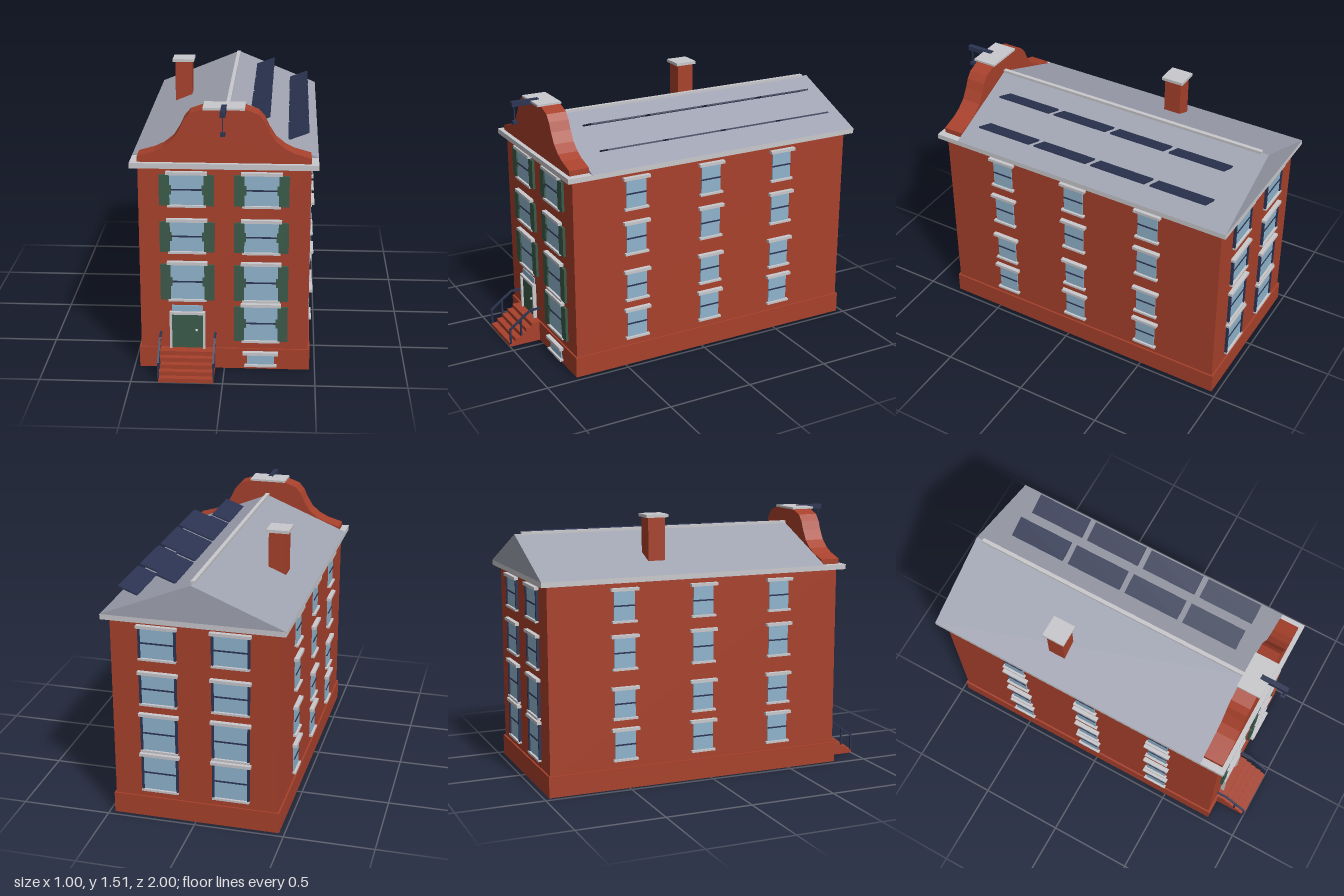
import * as THREE from 'three';

const mat = (name, color) => Object.assign(new THREE.MeshStandardMaterial({ color }), { name });

export function createModel() {
  const brick = mat('brick red', 0xa8412c);
  const slate = mat('roof grey', 0xa0a3b1);
  const trim = mat('pale stone', 0xc9c9cd);
  const glass = mat('window blue', 0x90b4cd);
  const green = mat('shutter green', 0x3b5b4a);
  const navy = mat('dark navy', 0x2c3452);

  const model = new THREE.Group();
  model.name = 'townHouse';

  // Box given by its min and max on each axis
  function box(parent, name, m, x0, x1, y0, y1, z0, z1) {
    const mesh = new THREE.Mesh(new THREE.BoxGeometry(x1 - x0, y1 - y0, z1 - z0), m);
    mesh.position.set((x0 + x1) / 2, (y0 + y1) / 2, (z0 + z1) / 2);
    mesh.name = name;
    parent.add(mesh);
    return mesh;
  }
  // Outline in x,y pushed along z
  function prism(name, m, points, z0, z1) {
    const shape = new THREE.Shape(points.map(([x, y]) => new THREE.Vector2(x, y)));
    const geo = new THREE.ExtrudeGeometry(shape, { depth: z1 - z0, bevelEnabled: false });
    geo.translate(0, 0, z0);
    const mesh = new THREE.Mesh(geo, m);
    mesh.name = name;
    model.add(mesh);
    return mesh;
  }
  // Square bar between two points
  function bar(parent, name, m, a, b, t) {
    const from = new THREE.Vector3(...a), to = new THREE.Vector3(...b);
    const mesh = new THREE.Mesh(new THREE.BoxGeometry(t, t, from.distanceTo(to)), m);
    mesh.position.copy(from).lerp(to, 0.5);
    mesh.lookAt(to);
    mesh.name = name;
    parent.add(mesh);
  }

  // Walls, plinth and eaves
  box(model, 'walls', brick, -0.46, 0.46, 0.1, 1.17, -0.96, 0.8);
  box(model, 'plinth', brick, -0.47, 0.47, 0, 0.12, -0.97, 0.81);
  box(model, 'eaves', trim, -0.5, 0.5, 1.167, 1.196, -1, 0.84);

  // Roof with ridge cap
  prism('roof', slate, [[-0.5, 1.196], [0.5, 1.196], [0, 1.4]], -1, 0.7);
  box(model, 'ridgeCap', trim, -0.011, 0.011, 1.385, 1.411, -0.96, 0.7);

  // Curved front gable
  const half = [[0.46, 1.196], [0.46, 1.226], [0.37, 1.252], [0.32, 1.277], [0.27, 1.318],
    [0.235, 1.375], [0.212, 1.425], [0.18, 1.462], [0.11, 1.487]];
  const mirrored = half.map(([x, y]) => [-x, y]).reverse();
  prism('frontGable', brick, [...half, ...mirrored], 0.7, 0.815);
  box(model, 'gableCap', trim, -0.11, 0.11, 1.486, 1.498, 0.695, 0.835);

  // Hoist beam with rope and hook
  box(model, 'hoistBeam', navy, -0.014, 0.014, 1.476, 1.504, 0.785, 0.945);
  box(model, 'hoistRope', navy, -0.003, 0.003, 1.39, 1.48, 0.925, 0.931);
  box(model, 'hoistHook', navy, -0.013, 0.013, 1.376, 1.394, 0.915, 0.941);

  // Chimney
  box(model, 'chimney', brick, -0.35, -0.25, 1.24, 1.5, -0.335, -0.235);
  box(model, 'chimneyCap', trim, -0.365, -0.238, 1.498, 1.515, -0.35, -0.22);

  // Tilted solar panels, two rows of four
  for (const [x, y] of [[0.125, 1.347], [0.337, 1.262]]) {
    for (let i = 0; i < 4; i++) {
      const panel = new THREE.Mesh(new THREE.BoxGeometry(0.118, 0.009, 0.332), navy);
      panel.position.set(x + 0.055, y + 0.02, -0.685 + i * 0.366);
      panel.rotation.z = 0.36;
      panel.name = 'solarPanel';
      model.add(panel);
    }
  }

  // Window facing local +z, with its wall at z = 0
  function makeWindow(parent, x, y0, y1, halfW, { ledge = 0.02, shutters, posts, mid = true } = {}) {
    const g = new THREE.Group();
    g.name = 'window';
    g.position.x = x;
    parent.add(g);
    const ym = (y0 + y1) / 2;
    box(g, 'glass', glass, -halfW, halfW, y0, y1, -0.002, 0.007);
    if (mid) box(g, 'glazingBar', navy, -halfW, halfW, ym - 0.004, ym + 0.004, 0.004, 0.011);
    box(g, 'lintel', trim, -halfW - ledge, halfW + ledge, y1, y1 + 0.017, -0.002, 0.025);
    box(g, 'sill', trim, -halfW - ledge * 0.6, halfW + ledge * 0.6, y0 - 0.012, y0, -0.002, 0.02);
    for (const s of [-1, 1]) {
      const strip = (name, m, a, b, lo, hi, d) =>
        box(g, name, m, Math.min(s * a, s * b), Math.max(s * a, s * b), lo, hi, -0.002, d);
      if (shutters) {
        strip('shutter', green, halfW - 0.002, 0.147, y0 - 0.003, y1 - 0.002, 0.015);
        strip('shutterLatch', green, halfW - 0.012, halfW, ym - 0.025, ym + 0.025, 0.013);
      }
      if (posts) strip('windowPost', navy, halfW, halfW + 0.012, y0, y1, 0.015);
    }
    return g;
  }
  // Each wall is a group turned to face outward
  function wall(name, x, z, turn) {
    const g = new THREE.Group();
    g.name = name;
    g.position.set(x, 0, z);
    g.rotation.y = turn;
    model.add(g);
    return g;
  }
  const wideRows = [[0.172, 0.375], [0.412, 0.616], [0.692, 0.862], [0.957, 1.127]];
  const sideRows = [[0.174, 0.334], [0.41, 0.568], [0.69, 0.86], [0.955, 1.119]];

  const front = wall('frontWindows', 0, 0.8, 0);
  const back = wall('backWindows', 0, -0.96, Math.PI);
  wideRows.forEach(([y0, y1], row) => {
    for (const x of [-0.2, 0.2]) {
      if (row > 0 || x > 0) makeWindow(front, x, y0, y1, 0.094, { shutters: true, ledge: 0.016 });
      makeWindow(back, x, y0, y1, 0.092, { posts: true });
    }
  });
  for (const s of [-1, 1]) {
    const side = wall(s > 0 ? 'leftWindows' : 'rightWindows', s * 0.46, 0, s * Math.PI / 2);
    for (const z of [0.423, -0.05, -0.522])
      for (const [y0, y1] of sideRows) makeWindow(side, -s * z, y0, y1, 0.061);
  }
  // Basement window
  makeWindow(wall('basementWindow', 0, 0.81, 0), 0.2, 0.03, 0.09, 0.075, { ledge: 0.023, mid: false });

  // Door with frame, knob and light above
  const door = new THREE.Group();
  door.name = 'door';
  model.add(door);
  box(door, 'doorLeaf', green, -0.29, -0.115, 0.12, 0.322, 0.798, 0.808);
  box(door, 'doorFrame', trim, -0.3, -0.288, 0.12, 0.337, 0.798, 0.822);
  box(door, 'doorFrame', trim, -0.117, -0.105, 0.12, 0.337, 0.798, 0.822);
  box(door, 'doorFrame', trim, -0.3, -0.105, 0.322, 0.337, 0.798, 0.822);
  box(door, 'transomWindow', glass, -0.288, -0.117, 0.337, 0.372, 0.798, 0.807);
  const knob = new THREE.Mesh(new THREE.SphereGeometry(0.008, 10, 8), trim);
  knob.position.set(-0.153, 0.228, 0.814);
  knob.name = 'doorKnob';
  door.add(knob);

  // Front steps
  for (let i = 0; i < 5; i++)
    box(model, 'step', brick, -0.35, -0.05, i * 0.024, (i + 1) * 0.024, 0.8, 1 - i * 0.035);

  // Handrails
  for (const x of [-0.35, -0.05]) {
    const rail = new THREE.Group();
    rail.name = 'handrail';
    model.add(rail);
    bar(rail, 'slopedRail', navy, [x, 0.112, 0.995], [x, 0.207, 0.865], 0.011);
    bar(rail, 'topRail', navy, [x, 0.207, 0.87], [x, 0.207, 0.8], 0.011);
    box(rail, 'lowerPost', navy, x - 0.005, x + 0.005, 0.02, 0.115, 0.989, 0.999);
    box(rail, 'upperPost', navy, x - 0.005, x + 0.005, 0.06, 0.162, 0.922, 0.932);
  }
  return model;
}
